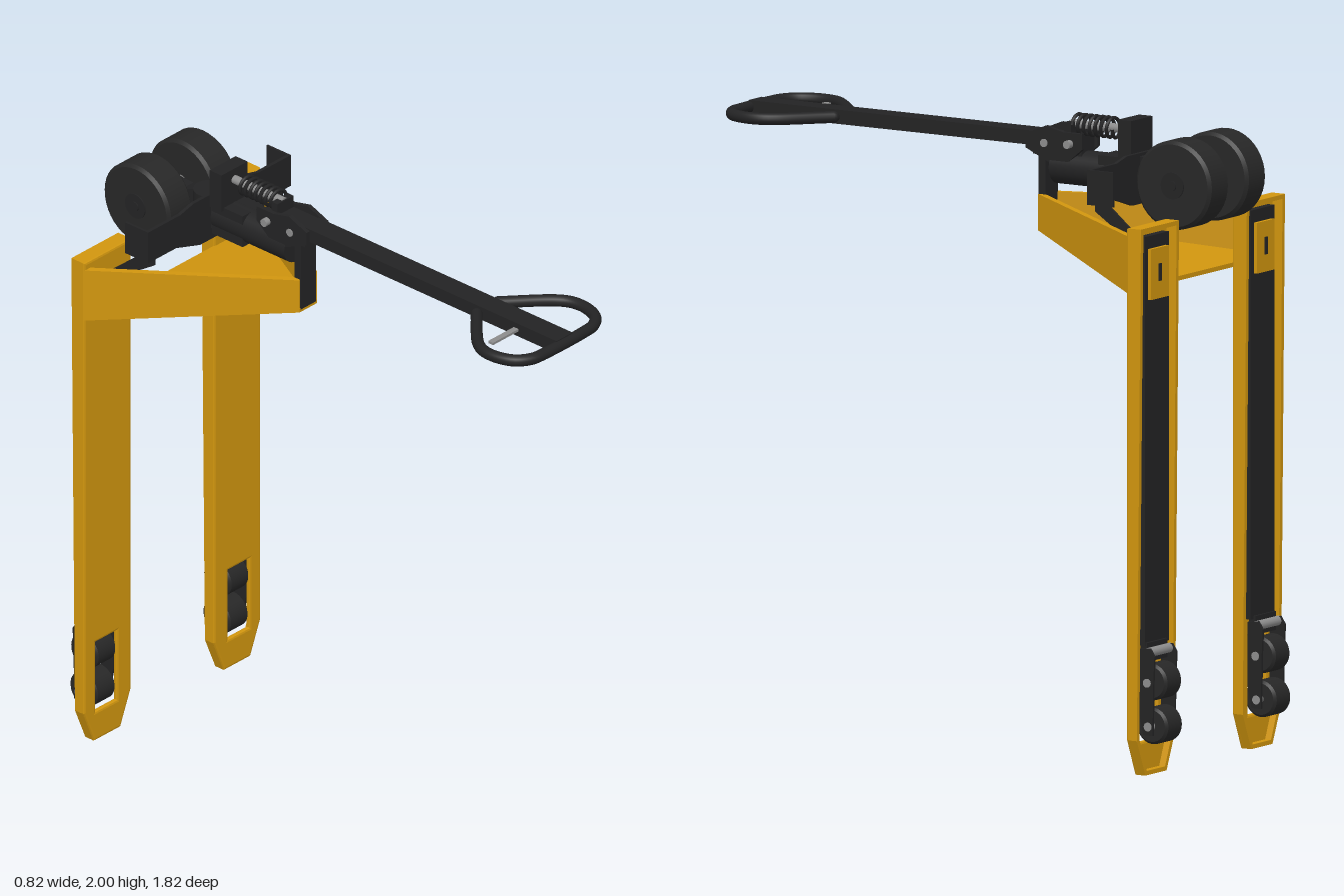
import * as THREE from 'three';

const mat = (name, color, side = THREE.FrontSide) => {
  const m = new THREE.MeshStandardMaterial({ color, side });
  m.name = name;
  return m;
};

export function createModel() {
  const yellow = mat('yellow paint', 0xd0950e);
  const black = mat('black steel', 0x232324);
  const rubber = mat('dark rubber', 0x272727);
  const grey = mat('bare metal', 0x8c8c8c);
  const model = new THREE.Group();
  model.name = 'palletJack';

  const add = (name, geo, material, x = 0, y = 0, z = 0, parent = model) => {
    const mesh = new THREE.Mesh(geo, material);
    mesh.name = name;
    mesh.position.set(x, y, z);
    parent.add(mesh);
    return mesh;
  };
  // Box given by its limits
  const box = (name, m, x0, x1, y0, y1, z0, z1, parent) =>
    add(name, new THREE.BoxGeometry(x1 - x0, y1 - y0, z1 - z0), m, (x0 + x1) / 2, (y0 + y1) / 2, (z0 + z1) / 2, parent);
  const cylX = (r, len, n = 32) => new THREE.CylinderGeometry(r, r, len, n).rotateZ(Math.PI / 2);
  const cylZ = (r, len, n = 32) => new THREE.CylinderGeometry(r, r, len, n).rotateX(Math.PI / 2);
  const shapeOf = pts => new THREE.Shape(pts.map(p => new THREE.Vector2(...p)));
  const extrude = (shape, depth) => new THREE.ExtrudeGeometry(shape, { depth, bevelEnabled: false });
  // Profile in (z, y), extruded along x and centred
  const sidePlate = (pts, t) =>
    extrude(shapeOf(pts.map(([z, y]) => [-z, y])), t).rotateY(Math.PI / 2).translate(-t / 2, 0, 0);
  // Unit box with corners moved by a rule of (u, v, w), each 0..1
  const bentBox = rule => {
    const g = new THREE.BoxGeometry(1, 1, 1);
    const p = g.attributes.position;
    for (let i = 0; i < p.count; i++) p.setXYZ(i, ...rule(p.getX(i) + 0.5, p.getY(i) + 0.5, p.getZ(i) + 0.5));
    g.computeVertexNormals();
    return g;
  };
  const lerp = THREE.MathUtils.lerp;
  // Wheel with chamfered tread, axle along x
  const wheelGeo = (r, w, c) => {
    const h = w / 2;
    const pts = [[0, -h], [r - c, -h], [r - c, -h], [r, c - h], [r, c - h], [r, h - c], [r, h - c], [r - c, h], [r - c, h], [0, h]];
    return new THREE.LatheGeometry(pts.map(p => new THREE.Vector2(...p)), 40).rotateZ(Math.PI / 2);
  };

  // Fork outline around its own centre line, inset by d
  const outline = d => [[-0.06 + d * 0.6, d], [0.06 - d * 0.6, d], [0.108 - d, 0.115 + d * 0.3],
    [0.108 - d, 1.73 - d], [-0.108 + d, 1.73 - d], [-0.108 + d, 0.115 + d * 0.3]];

  for (const s of [1, -1]) {
    const fork = new THREE.Group();
    fork.name = s > 0 ? 'leftFork' : 'rightFork';
    fork.position.x = s * 0.3;
    model.add(fork);

    // Face plate with roller opening, and the channel walls behind it
    const face = shapeOf(outline(0.008));
    face.holes.push(new THREE.Path([[-0.052, 0.095], [-0.052, 0.36], [0.064, 0.36], [0.064, 0.095]]
      .map(([x, y]) => new THREE.Vector2(s * x, y))));
    add('forkFace', new THREE.ExtrudeGeometry(face, { depth: 0.006, bevelThickness: 0.006, bevelSize: 0.008, bevelSegments: 2 }),
      yellow, 0, 0, -0.772, fork);
    const rim = shapeOf(outline(0));
    rim.holes.push(new THREE.Path(outline(0.014).map(p => new THREE.Vector2(...p))));
    const rimGeo = extrude(rim, 0.047);
    const rp = rimGeo.attributes.position;
    for (let i = 0; i < rp.count; i++) if (rp.getZ(i) < 0.01 && rp.getY(i) < 0.14) rp.setZ(i, 0.015);
    rimGeo.computeVertexNormals();
    add('forkWalls', rimGeo, yellow, 0, 0, -0.815, fork);

    // Push rod in the channel and its mounting pad
    box('pushRod', black, -0.068, 0.068, 0.41, 1.7, -0.803, -0.776, fork);
    box('mountingPad', yellow, -0.05, 0.05, 1.5, 1.66, -0.815, -0.8, fork);
    box('padSlot', black, -0.008, 0.008, 1.555, 1.61, -0.818, -0.814, fork);

    // Load rollers with their carrier
    const cx = s * 0.007;
    for (const [y, z] of [[0.295, -0.815], [0.157, -0.818]]) {
      add('loadRoller', wheelGeo(0.058, 0.092, 0.008), rubber, cx, y, z, fork);
      add('rollerAxle', cylX(0.014, 0.138, 16), grey, cx, y, z, fork);
    }
    const cheek = [[-0.8, 0.13], [-0.835, 0.13], [-0.838, 0.3], [-0.842, 0.38], [-0.825, 0.405], [-0.785, 0.4], [-0.785, 0.2]];
    for (const k of [1, -1]) add('rollerCarrier', sidePlate(cheek, 0.008), black, cx + k * 0.062, 0, 0, fork);
    add('carrierPin', cylX(0.015, 0.13, 16), grey, cx, 0.39, -0.815, fork);
    box('carrierBridge', black, cx - 0.058, cx + 0.058, 0.36, 0.42, -0.81, -0.785, fork);

    // Side wall of the frame, running from the fork to the nose
    add('frameWall', bentBox((a, v, w) => {
      const u = s > 0 ? a : 1 - a;
      const y = lerp(lerp(1.525, 1.62, u), lerp(1.705, 1.735, u), v);
      return [s * (lerp(0.408, 0.04, u) - 0.017 * w), y, lerp(-0.765, -0.19, u) - 0.011 * w];
    }), yellow);

    // Lift link from the cross beam down to the push rod
    add('liftLink', sidePlate([[-0.57, 1.79], [-0.6, 1.79], [-0.77, 1.65], [-0.77, 1.62], [-0.57, 1.75]], 0.008), black, s * 0.292);

    // Cross beam end flange
    box('beamFlange', black, s * 0.326 - 0.004, s * 0.326 + 0.004, 1.775, 1.885, -0.66, -0.565);

    // Steering wheel
    add('steerWheel', wheelGeo(0.14, 0.11, 0.01), rubber, s * 0.105, 1.83, -0.77);
    add('wheelHub', cylX(0.042, 0.006), black, s * 0.161, 1.83, -0.77);
    add('wheelBolt', cylX(0.016, 0.012, 16), black, s * 0.162, 1.83, -0.77);

    // Pivot cheek of the handle
    add('handleCheek', sidePlate([[-0.15, 1.88], [-0.15, 1.925], [-0.225, 1.955], [-0.29, 1.94],
      [-0.36, 1.94], [-0.36, 1.89], [-0.3, 1.84], [-0.24, 1.84]], 0.014), black, s * 0.044);
  }

  // Sloping underside of the frame
  add('framePlate', bentBox((u, v, w) => [(u - 0.5) * 2 * lerp(0.405, 0.04, w),
    lerp(1.525, 1.62, w) + 0.014 * v, lerp(-0.765, -0.19, w)]), yellow);

  // Nose plate and hydraulic pump
  box('nosePlate', black, -0.035, 0.035, 1.63, 1.86, -0.215, -0.188);
  add('pumpBody', cylZ(0.056, 0.31), black, 0, 1.825, -0.395);
  box('pumpBlock', black, -0.05, 0.05, 1.77, 1.88, -0.55, -0.42);
  box('springPlate', black, -0.06, 0.06, 1.87, 2.0, -0.55, -0.5);
  add('pumpRod', cylZ(0.02, 0.05, 16), grey, 0, 1.825, -0.56);

  // Cross beam, deeper in the middle
  add('crossBeam', extrude(shapeOf([[-0.33, 1.775], [-0.2, 1.775], [-0.09, 1.74], [0.09, 1.74], [0.2, 1.775], [0.33, 1.775],
    [0.33, 1.885], [0.18, 1.885], [0.12, 1.9], [-0.12, 1.9], [-0.18, 1.885], [-0.33, 1.885]]), 0.012), black, 0, 0, -0.575);

  // Steering head and axle
  add('steerHead', new THREE.CylinderGeometry(0.055, 0.055, 0.11, 32), black, 0, 1.835, -0.6);
  add('steerArm', sidePlate([[-0.58, 1.78], [-0.58, 1.89], [-0.63, 1.89], [-0.7, 1.86], [-0.79, 1.865], [-0.79, 1.8], [-0.7, 1.78]], 0.06), black);
  add('wheelAxle', cylX(0.022, 0.12, 20), grey, 0, 1.83, -0.77);

  // Return spring on its rod
  const turns = 7;
  const coil = [];
  for (let i = 0; i <= turns * 12; i++) {
    const a = i / 12 * Math.PI * 2;
    coil.push(new THREE.Vector3(0.031 * Math.cos(a), 1.962 + 0.031 * Math.sin(a), -0.31 - 0.15 * i / (turns * 12)));
  }
  add('spring', new THREE.TubeGeometry(new THREE.CatmullRomCurve3(coil), turns * 20, 0.006, 6), black);
  add('springRod', cylZ(0.014, 0.22, 16), grey, 0, 1.962, -0.4);
  box('springSeat', black, -0.037, 0.037, 1.9, 1.97, -0.31, -0.285);

  // Handle pivot pins
  for (const [z, y, w] of [[-0.315, 1.905, 0.14], [-0.22, 1.9, 0.11]]) add('pivotPin', cylX(0.013, w, 16), grey, 0, y, z);
  box('pivotBlock', black, -0.037, 0.037, 1.86, 1.93, -0.35, -0.17);

  // Draw bar
  box('drawBar', black, -0.037, 0.037, 1.887, 1.932, -0.18, 0.89);

  // Hand loop
  const half = [[0.05, 0.565], [0.18, 0.69], [0.205, 0.735], [0.208, 0.79], [0.185, 0.85], [0.14, 0.882], [0.09, 0.888]];
  const loop = [...half, ...half.slice().reverse().map(([x, z]) => [-x, z])].map(([x, z]) => new THREE.Vector3(x, 1.91, z));
  const loopCurve = new THREE.CatmullRomCurve3(loop, false, 'centripetal');
  add('handLoop', new THREE.TubeGeometry(loopCurve, 90, 0.019, 14), black);
  for (const s of [1, -1]) add('loopEnd', new THREE.SphereGeometry(0.019, 14, 10), black, s * 0.05, 1.91, 0.565);

  // Release lever
  box('releaseLever', grey, -0.155, -0.03, 1.906, 1.914, 0.71, 0.73);

  return model;
}
